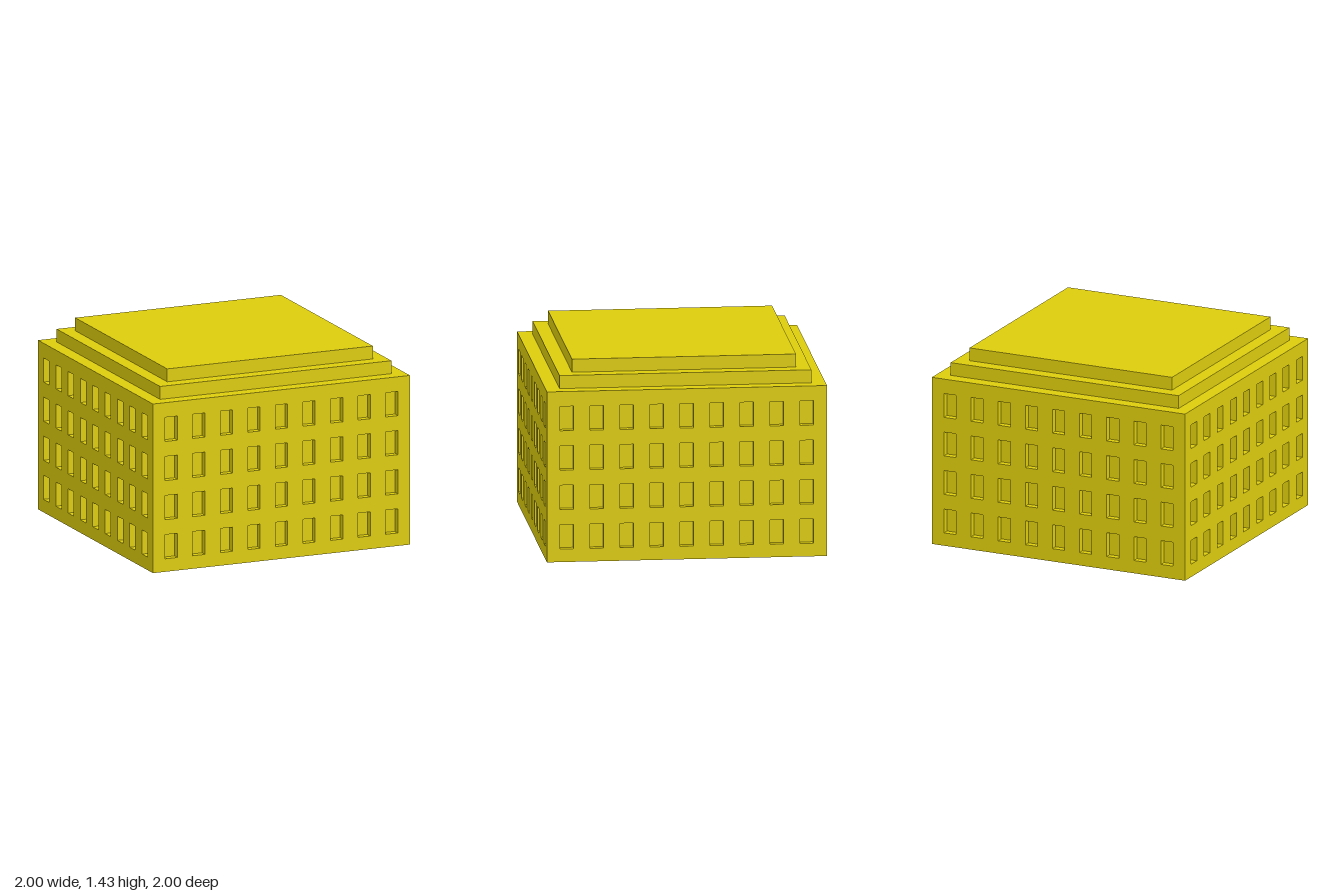
import * as THREE from 'three';

const H = 1.24;      // height of the main walls
const RECESS = 0.05; // depth of the windows

export function createModel() {
  const model = new THREE.Group();
  model.name = 'building';
  const material = new THREE.MeshStandardMaterial({ color: 0xdccc0d, flatShading: true });

  // Hollow core with stepped roof: a square, four-sided lathe (inside first, then outside)
  const core = 1 - RECESS;
  const profile = [
    [0, 1.33], [0.7, 1.33], [0.7, 1.24], [0.8, 1.24], [0.8, 1.14], [0.9, 1.14], [0.9, 0],
    [core, 0], [core, H], [0.9, H], [0.9, 1.335], [0.8, 1.335], [0.8, 1.43], [0, 1.43],
  ].map(([r, y]) => new THREE.Vector2(r * Math.SQRT2, y));
  // keep the tier undersides clear of the ledges inside
  const coreGeometry = new THREE.LatheGeometry(profile, 4, Math.PI / 4).toNonIndexed();
  coreGeometry.computeVertexNormals();
  const shell = new THREE.Mesh(coreGeometry, material);
  shell.name = 'coreAndSteppedRoof';
  model.add(shell);

  // Facade panel pierced by a grid of windows
  const panel = new THREE.Shape([
    new THREE.Vector2(-1, 0), new THREE.Vector2(1, 0),
    new THREE.Vector2(1, H), new THREE.Vector2(-1, H),
  ]);
  const halfWidth = 0.048, windowHeight = 0.177;
  for (let row = 0; row < 4; row++) {
    for (let col = 0; col < 9; col++) {
      const x = (col - 4) * 0.2143, y = 0.095 + row * 0.2867;
      panel.holes.push(new THREE.Path([
        new THREE.Vector2(x - halfWidth, y),
        new THREE.Vector2(x - halfWidth, y + windowHeight),
        new THREE.Vector2(x + halfWidth, y + windowHeight),
        new THREE.Vector2(x + halfWidth, y),
      ]));
    }
  }
  const facade = new THREE.ExtrudeGeometry(panel, { depth: RECESS, bevelEnabled: false });

  // Mitre the side edges so that neighbouring panels meet at the corners
  const position = facade.attributes.position;
  for (let i = 0; i < position.count; i++) {
    const x = position.getX(i);
    if (Math.abs(x) > 0.99 && position.getZ(i) < RECESS / 2) position.setX(i, x * core);
  }
  facade.translate(0, 0, core);
  facade.computeVertexNormals();

  // The same facade on all four sides
  ['front', 'left', 'back', 'right'].forEach((side, i) => {
    const wall = new THREE.Mesh(facade, material);
    wall.name = side + 'Facade';
    wall.rotation.y = i * Math.PI / 2;
    model.add(wall);
  });

  return model;
}
